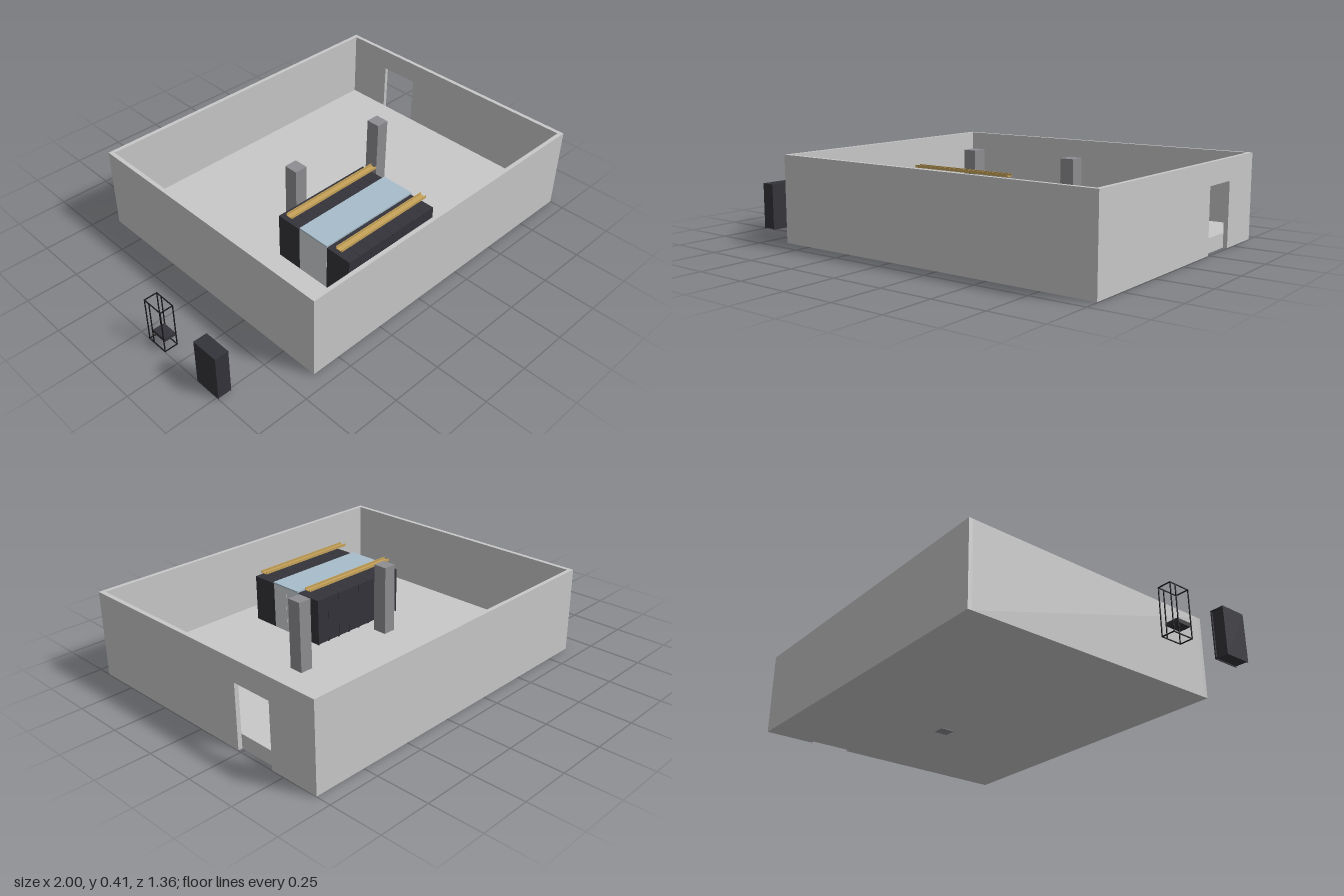
import * as THREE from 'three';

const material = (name, color) => {
  const m = new THREE.MeshStandardMaterial({ color });
  m.name = name;
  return m;
};

export function createModel() {
  const model = new THREE.Group();
  model.name = 'serverRoom';
  const wallGrey = material('wallGrey', 0xc8c8c8);
  const columnGrey = material('columnGrey', 0x8e8e92);
  const rackDark = material('rackDark', 0x33333a);
  const frameBlack = material('frameBlack', 0x18181b);
  const trayGold = material('trayGold', 0xc8a45a);
  const roofBlue = material('roofBlue', 0xa8bccb);
  const doorGrey = material('doorGrey', 0xcfd3d6);

  // Box given by its minimum and maximum corners
  const box = (parent, name, mat, x0, x1, y0, y1, z0, z1) => {
    const mesh = new THREE.Mesh(new THREE.BoxGeometry(x1 - x0, y1 - y0, z1 - z0), mat);
    mesh.position.set((x0 + x1) / 2, (y0 + y1) / 2, (z0 + z1) / 2);
    mesh.name = name;
    parent.add(mesh);
    return mesh;
  };
  const group = (name) => {
    const g = new THREE.Group();
    g.name = name;
    model.add(g);
    return g;
  };

  // Room shell: raised floor, three plain walls and one wall with a doorway
  const L = -0.64, R = 1, D = 0.68, H = 0.408, T = 0.02, FLOOR = 0.07, BASE = 0.002;
  const room = group('room');
  box(room, 'raisedFloor', wallGrey, L + T, R - T, BASE, FLOOR, -D + T, D - T);
  box(room, 'frontWall', wallGrey, L, R, BASE, H, D - T, D);
  box(room, 'backWall', wallGrey, L, R, BASE, H, -D, -D + T);
  box(room, 'rightWall', wallGrey, L, L + T, BASE, H, -D + T, D - T);
  const outline = new THREE.Shape([
    [-D + T, BASE], [0.235, BASE], [0.235, 0.305], [0.435, 0.305],
    [0.435, BASE], [D - T, BASE], [D - T, H], [-D + T, H],
  ].map(([x, y]) => new THREE.Vector2(x, y)));
  const doorWall = new THREE.Mesh(
    new THREE.ExtrudeGeometry(outline, { depth: T, bevelEnabled: false }), wallGrey);
  doorWall.rotation.y = Math.PI / 2;
  doorWall.position.x = R - T;
  doorWall.name = 'doorwayWall';
  room.add(doorWall);

  // Columns, one reaching through the floor
  box(room, 'column', columnGrey, -0.125, -0.06, FLOOR, H - 0.001, -0.04, 0.03);
  box(room, 'column', columnGrey, 0.415, 0.48, 0, H - 0.001, -0.04, 0.03);

  // Closed rack with a recessed door on the -z face
  const W = 0.066, RH = 0.225, RD = 0.132;
  const rack = (x, y, z, turned) => {
    const g = group('rack');
    const w = W / 2, d = RD / 2;
    box(g, 'rackBody', rackDark, -w, w, 0.004, RH, -d + 0.006, d);
    for (const s of [-1, 1]) {
      box(g, 'doorPost', rackDark, s * (w - 0.003) - 0.003, s * (w - 0.003) + 0.003, 0, RH, -d, -d + 0.006);
      box(g, 'sideSkirt', rackDark, s * (w - 0.002) - 0.002, s * (w - 0.002) + 0.002, 0, 0.004, -d + 0.006, d);
    }
    box(g, 'doorLintel', rackDark, -w + 0.006, w - 0.006, RH - 0.008, RH, -d, -d + 0.006);
    box(g, 'doorSill', rackDark, -w + 0.006, w - 0.006, 0, 0.008, -d, -d + 0.006);
    g.position.set(x, y, z);
    if (turned) g.rotation.y = Math.PI;
  };

  // Two rows of racks facing a shared aisle
  const X0 = -0.295, X1 = 0.24, COUNT = 8, pitch = (X1 - X0) / COUNT;
  for (let i = 0; i < COUNT; i++) {
    const x = X0 + pitch * (i + 0.5);
    rack(x, FLOOR, 0.166, true);
    rack(x, FLOOR, 0.467, false);
  }

  // Aisle roof panels and end doors
  const aisle = group('aisleContainment');
  for (let i = 0; i < COUNT; i++) {
    box(aisle, 'roofPanel', roofBlue, X0 + i * pitch, X0 + (i + 1) * pitch + (i === COUNT - 1 ? 0.004 : 0),
      0.296, 0.304, 0.232, 0.401);
  }
  for (const x of [X0, X1 - 0.006]) {
    for (const z of [0.232, 0.317]) {
      box(aisle, 'aisleDoor', doorGrey, x, x + 0.006, FLOOR, 0.296, z, z + 0.084);
    }
  }

  // Cable trays above the rows
  const trays = group('cableTrays');
  for (const z of [0.167, 0.471]) {
    box(trays, 'trayBase', trayGold, X0, X1, 0.325, 0.328, z - 0.017, z + 0.017);
    for (const s of [-1, 1]) {
      const c = z + s * 0.0155;
      box(trays, 'traySide', trayGold, X0, X1, 0.328, 0.338, c - 0.0015, c + 0.0015);
    }
  }

  // Standalone closed rack
  rack(-0.967, 0, 0.445, false);

  // Standalone open rack frame with mounting rails and one unit
  const open = group('openRack');
  const xs = [-1, -0.938], zs = [0.055, 0.161], ys = [0, RH - 0.004], b = 0.004;
  for (const x of xs) {
    for (const z of zs) box(open, 'framePost', frameBlack, x, x + b, 0, RH, z, z + b);
    for (const y of ys) box(open, 'frameSideBar', frameBlack, x, x + b, y, y + b, zs[0] + b, zs[1]);
    box(open, 'mountingRail', frameBlack, x, x + b, b, RH - b, 0.085, 0.085 + b);
  }
  for (const z of zs) for (const y of ys) {
    box(open, 'frameCrossBar', frameBlack, xs[0] + b, xs[1], y, y + b, z, z + b);
  }
  box(open, 'mountedUnit', rackDark, -0.995, -0.939, 0.055, 0.073, 0.087, 0.163);

  return model;
}
